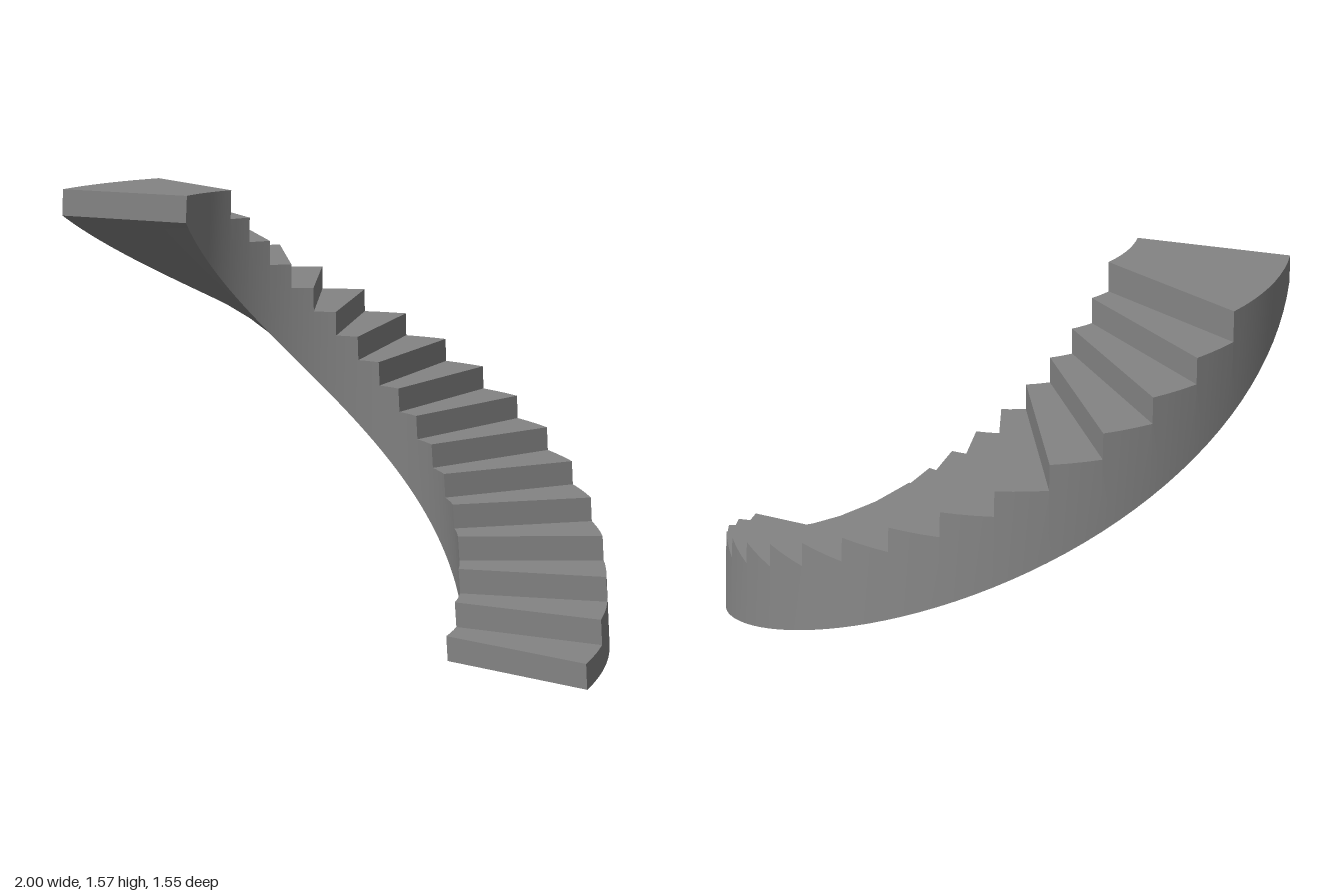
import * as THREE from 'three';
import { toCreasedNormals } from 'three/addons/utils/BufferGeometryUtils.js';

const STEPS = 16;            // ordinary steps before the landing
const LANDING_END = 18.97;   // the landing is about three steps wide
const RISE = 0.0913;
const TOP = 1.567;
const START = 24.3, TURN = 9.75; // degrees
const FLOOR_END = 2.87;      // where the underside leaves the floor
const FLAP_END = 4;          // the inner wall alone reaches the floor up to here
const SUB = 3;

// Point on the leaning inner or outer wall, n steps around at height y
function wallPoint(radius, n, y) {
  const a = THREE.MathUtils.degToRad(START + TURN * n);
  const r = radius - 0.074 * y;
  return [0.005 + r * Math.cos(a), y, 0.293 - r * Math.sin(a)];
}
const outerAt = (n, y) => wallPoint(1.094, n, y);
const innerAt = (n, y) => wallPoint(0.573, n, y);

// Height of the sloping underside
const soffitY = (n) => Math.max(0, RISE * (n - FLOOR_END));

export function createModel() {
  const group = new THREE.Group();
  const material = new THREE.MeshStandardMaterial({ color: 0x848484, side: THREE.DoubleSide });
  const parts = { treads: [], risers: [], outerWall: [], innerWall: [], soffit: [], landingEnd: [] };
  const quad = (part, a, b, c, d) => parts[part].push(...a, ...b, ...c, ...a, ...c, ...d);

  for (let s = 0; s <= STEPS; s++) {
    const end = s === STEPS ? LANDING_END : s + 1;
    const top = s === STEPS ? TOP : RISE * (s + 1);
    const low = RISE * s;

    // Riser at the front of the step
    quad('risers', innerAt(s, low), outerAt(s, low), outerAt(s, top), innerAt(s, top));

    // Angular slices of the step, with an extra cut where the underside leaves the floor
    const count = s === STEPS ? SUB * 3 : SUB;
    const cuts = [];
    for (let i = 0; i <= count; i++) cuts.push(s + (end - s) * i / count);
    if (FLOOR_END > s && FLOOR_END < end) cuts.push(FLOOR_END);
    cuts.sort((p, q) => p - q);

    for (let i = 0; i < cuts.length - 1; i++) {
      const a = cuts[i], b = cuts[i + 1];
      const ya = soffitY(a), yb = soffitY(b);
      // The inner wall hangs below the underside as a thin flap near the floor
      const wallA = s < FLAP_END ? 0 : ya, wallB = s < FLAP_END ? 0 : yb;
      quad('treads', outerAt(a, top), outerAt(b, top), innerAt(b, top), innerAt(a, top));
      quad('outerWall', outerAt(a, ya), outerAt(b, yb), outerAt(b, top), outerAt(a, top));
      quad('innerWall', innerAt(b, wallB), innerAt(a, wallA), innerAt(a, top), innerAt(b, top));
      quad('soffit', outerAt(a, ya), innerAt(a, ya), innerAt(b, yb), outerAt(b, yb));
    }
  }

  // Upright end of the landing
  const e = LANDING_END, ey = soffitY(e);
  quad('landingEnd', outerAt(e, ey), innerAt(e, ey), innerAt(e, TOP), outerAt(e, TOP));

  for (const [name, points] of Object.entries(parts)) {
    const geometry = new THREE.BufferGeometry();
    geometry.setAttribute('position', new THREE.Float32BufferAttribute(points, 3));
    const mesh = new THREE.Mesh(toCreasedNormals(geometry, 0.5), material);
    mesh.name = name;
    group.add(mesh);
  }
  group.name = 'curvedStaircase';
  return group;
}
